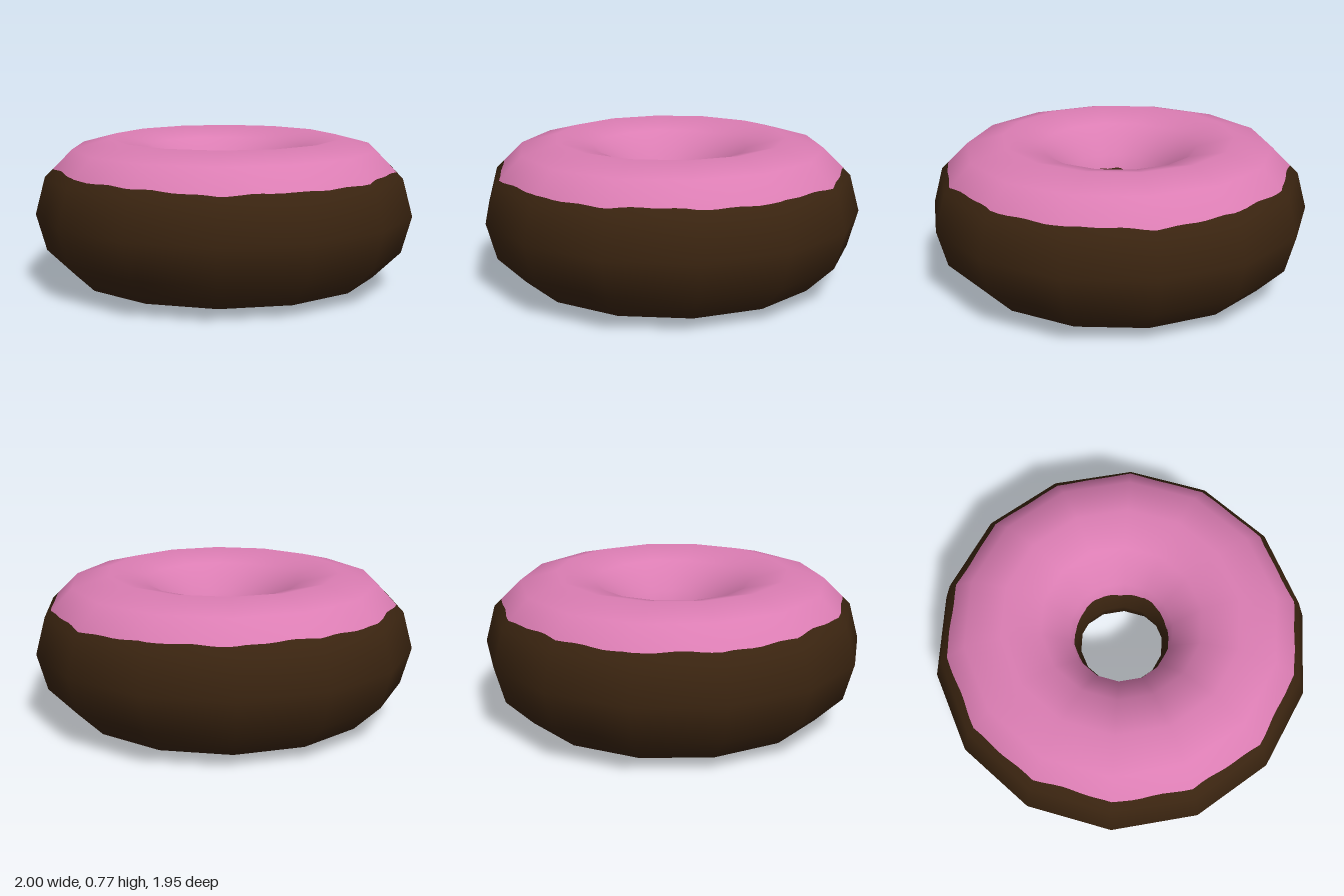
import * as THREE from 'three';

const SIDES = 14;        // facets around the ring
const RING = 0.61;       // radius to the middle of the tube
const TUBE = 0.39;
const TUBE_Y = 0.386;    // the tube is very slightly flattened
const STEPS = 8;         // columns per facet, for the wavy icing edge

// Corner of the coarse ring: i counts facets around, j counts 30 degree steps of the tube
function corner(i, j) {
  const a = (i / SIDES) * Math.PI * 2, b = (j / 12) * Math.PI * 2;
  const r = RING + TUBE * Math.cos(b);
  return {
    position: new THREE.Vector3(r * Math.cos(a), TUBE_Y + TUBE_Y * Math.sin(b), r * Math.sin(a)),
    normal: new THREE.Vector3(Math.cos(b) * Math.cos(a), Math.sin(b), Math.cos(b) * Math.sin(a)),
  };
}

// Point on a flat facet, with the smooth normal blended from its corners
function surface(u, v) {
  const i = Math.floor(u), j = Math.floor(v);
  const blend = (key) => {
    const low = corner(i, j)[key].lerp(corner(i + 1, j)[key], u - i);
    const high = corner(i, j + 1)[key].lerp(corner(i + 1, j + 1)[key], u - i);
    return low.lerp(high, v - j);
  };
  return { position: blend('position'), normal: blend('normal').normalize() };
}

// Wavy edges of the icing, in tube steps
const outerEdge = (a) => 1.25 - 0.04 * Math.cos(a) + 0.03 * Math.sin(3 * a + 1)
  + 0.025 * Math.sin(8 * a) + 0.018 * Math.sin(23 * a);
const innerEdge = (a) => 5.4 + 0.05 * Math.sin(5 * a) + 0.03 * Math.sin(14 * a + 2);

// Skin between the rows that rowsAt gives for each angle
function skin(rowsAt) {
  const positions = [], normals = [], index = [];
  const columns = SIDES * STEPS;
  const count = rowsAt(0).length;
  for (let c = 0; c <= columns; c++) {
    const u = c / STEPS;
    for (const v of rowsAt((c / columns) * Math.PI * 2)) {
      const p = surface(u, v);
      positions.push(...p.position.toArray());
      normals.push(...p.normal.toArray());
    }
  }
  for (let c = 0; c < columns; c++) {
    for (let r = 0; r < count - 1; r++) {
      const a = c * count + r, b = a + count;
      index.push(a, a + 1, b, a + 1, b + 1, b);
    }
  }
  const geometry = new THREE.BufferGeometry();
  geometry.setAttribute('position', new THREE.Float32BufferAttribute(positions, 3));
  geometry.setAttribute('normal', new THREE.Float32BufferAttribute(normals, 3));
  geometry.setIndex(index);
  return geometry;
}

export function createModel() {
  const group = new THREE.Group();
  group.name = 'doughnut';

  const chocolate = new THREE.MeshStandardMaterial({ color: 0x3a2410 });
  chocolate.name = 'chocolate dough';
  const pink = new THREE.MeshStandardMaterial({ color: 0xdb7db3 });
  pink.name = 'pink icing';

  // Icing over the top, from the outer edge into the hole
  const icing = new THREE.Mesh(skin((a) => [outerEdge(a), 2, 3, 4, 5, innerEdge(a)]), pink);
  icing.name = 'icing';

  // Dough from inside the hole, under the base and up the outside
  const dough = new THREE.Mesh(
    skin((a) => [innerEdge(a), 6, 7, 8, 9, 10, 11, 12, 13, 12 + outerEdge(a)]), chocolate);
  dough.name = 'dough';

  group.add(dough, icing);
  return group;
}
